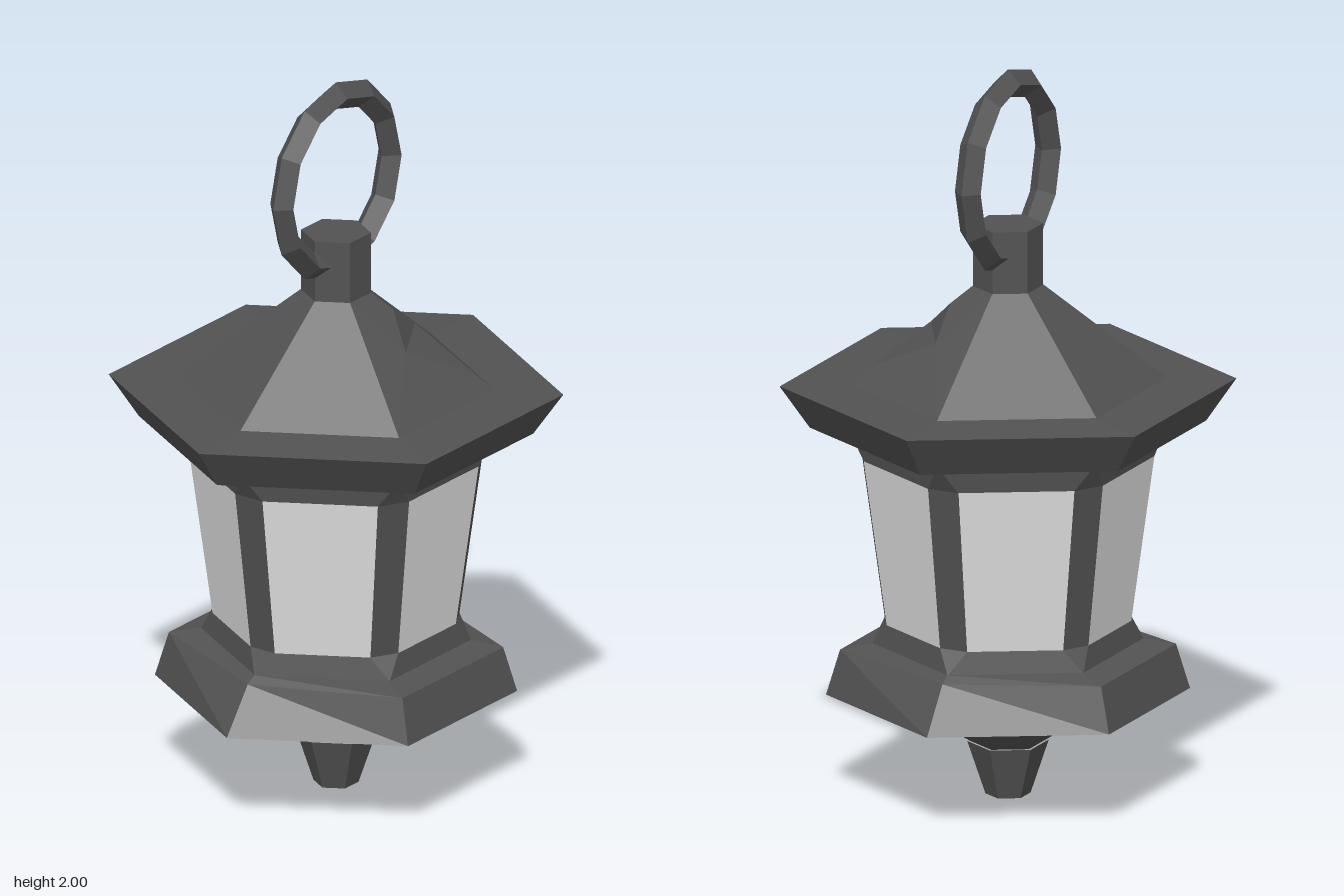
import * as THREE from 'three';

const iron = new THREE.MeshStandardMaterial({ color: 0x525252, flatShading: true });
iron.name = 'dark iron';
const glass = new THREE.MeshStandardMaterial({ color: 0xe0e0e0, flatShading: true });
glass.name = 'pale glass';

function mesh(name, geometry, material = iron) {
  const m = new THREE.Mesh(geometry, material);
  m.name = name;
  return m;
}

// Six-sided turned shape with corners on the x axis; profile runs bottom to top as [radius, y]
function hexLathe(profile) {
  return new THREE.LatheGeometry(profile.map(([r, y]) => new THREE.Vector2(r, y)), 6, Math.PI / 6);
}

function fromTriangles(triangles) {
  const g = new THREE.BufferGeometry().setFromPoints(triangles.flat());
  g.computeVertexNormals();
  return g;
}

const corner = (r, y, k) => new THREE.Vector3(
  r * Math.cos(k * Math.PI / 3), y, r * Math.sin(k * Math.PI / 3));

// Hexagon with each corner cut by a flat of half-width h: two points per corner
function cutHex(r, h, y) {
  const points = [];
  const t = h / Math.sin(Math.PI / 3) / r;
  for (let k = 0; k < 6; k++) {
    for (const side of [-1, 1]) points.push(corner(r, y, k).lerp(corner(r, y, k + side), t));
  }
  return points;
}

// Quads between two rings; even indices are the corner flats, odd ones the sides
function band(low, high, keep = () => true) {
  const triangles = [];
  for (let i = 0; i < 12; i++) {
    if (!keep(i)) continue;
    const j = (i + 1) % 12;
    triangles.push([low[i], high[i], low[j]], [low[j], high[i], high[j]]);
  }
  return fromTriangles(triangles);
}

// Pyramid roof with a dent across the front right ridge
function roofGeometry() {
  const top = [], low = [];
  for (let k = 0; k < 6; k++) {
    top.push(corner(0.094, 1.405, k));
    low.push(corner(0.422, 1.143, k));
  }
  const tris = [];
  for (let k = 2; k < 6; k++) {
    const j = (k + 1) % 6;
    tris.push([low[k], top[k], low[j]], [low[j], top[k], top[j]]);
  }
  const a = new THREE.Vector3(0.01, 1.279, 0.222);
  const b = new THREE.Vector3(0.19, 1.279, 0.12);
  const c = top[1].clone().lerp(low[1], 0.83);
  const d = top[1].clone().lerp(low[1], 0.18);
  // front side, right front side, then the two faces of the dent
  tris.push([a, d, top[1]], [a, top[1], top[2]], [a, top[2], low[2]], [a, low[2], low[1]], [a, low[1], c]);
  tris.push([b, top[1], d], [b, top[0], top[1]], [b, low[0], top[0]], [b, low[1], low[0]], [b, c, low[1]]);
  tris.push([a, c, b], [a, b, d]);
  return fromTriangles(tris);
}

export function createModel() {
  const lantern = new THREE.Group();
  lantern.name = 'lantern';

  // Finial, bowl and flared base
  lantern.add(mesh('finial', hexLathe([[0, 0.005], [0.06, 0.005], [0.108, 0.15]])));
  lantern.add(mesh('bowl', hexLathe([[0.1, 0.15], [0.335, 0.287]])));
  const base = hexLathe([[0.3, 0.285], [0.482, 0.285], [0.445, 0.408], [0.36, 0.425], [0, 0.425]]);
  const p = base.attributes.position;
  for (let i = 0; i < p.count; i++) { // pull in the side corners of the upper rim
    if (Math.abs(p.getX(i)) > 0.4 && p.getY(i) > 0.4) p.setX(i, Math.sign(p.getX(i)) * 0.39);
  }
  lantern.add(mesh('base', base));

  // Glazed body with flat corner posts
  const foot = cutHex(0.36, 0, 0.423);
  const sill = cutHex(0.347, 0.04, 0.485);
  const head = cutHex(0.411, 0.045, 0.94);
  const crown = cutHex(0.422, 0, 1.015);
  lantern.add(mesh('lowerFrame', band(foot, sill)));
  lantern.add(mesh('upperFrame', band(head, crown)));
  lantern.add(mesh('cornerPosts', band(sill, head, (i) => i % 2 === 0)));
  lantern.add(mesh('windowPanes', band(sill, head, (i) => i % 2 === 1), glass));

  // Eave, roof and neck
  lantern.add(mesh('eave', hexLathe([[0, 1.012], [0.42, 1.012], [0.525, 1.022], [0.605, 1.137], [0.42, 1.143]])));
  lantern.add(mesh('roof', roofGeometry()));
  const neck = mesh('neck', new THREE.CylinderGeometry(0.093, 0.093, 0.18, 6, 1, false, Math.PI / 6));
  neck.position.y = 1.485;
  lantern.add(neck);

  // Hanging ring with a diamond section
  const ring = mesh('hangingRing', new THREE.TorusGeometry(0.239, 0.038, 4, 12));
  ring.position.y = 1.723;
  lantern.add(ring);

  return lantern;
}
